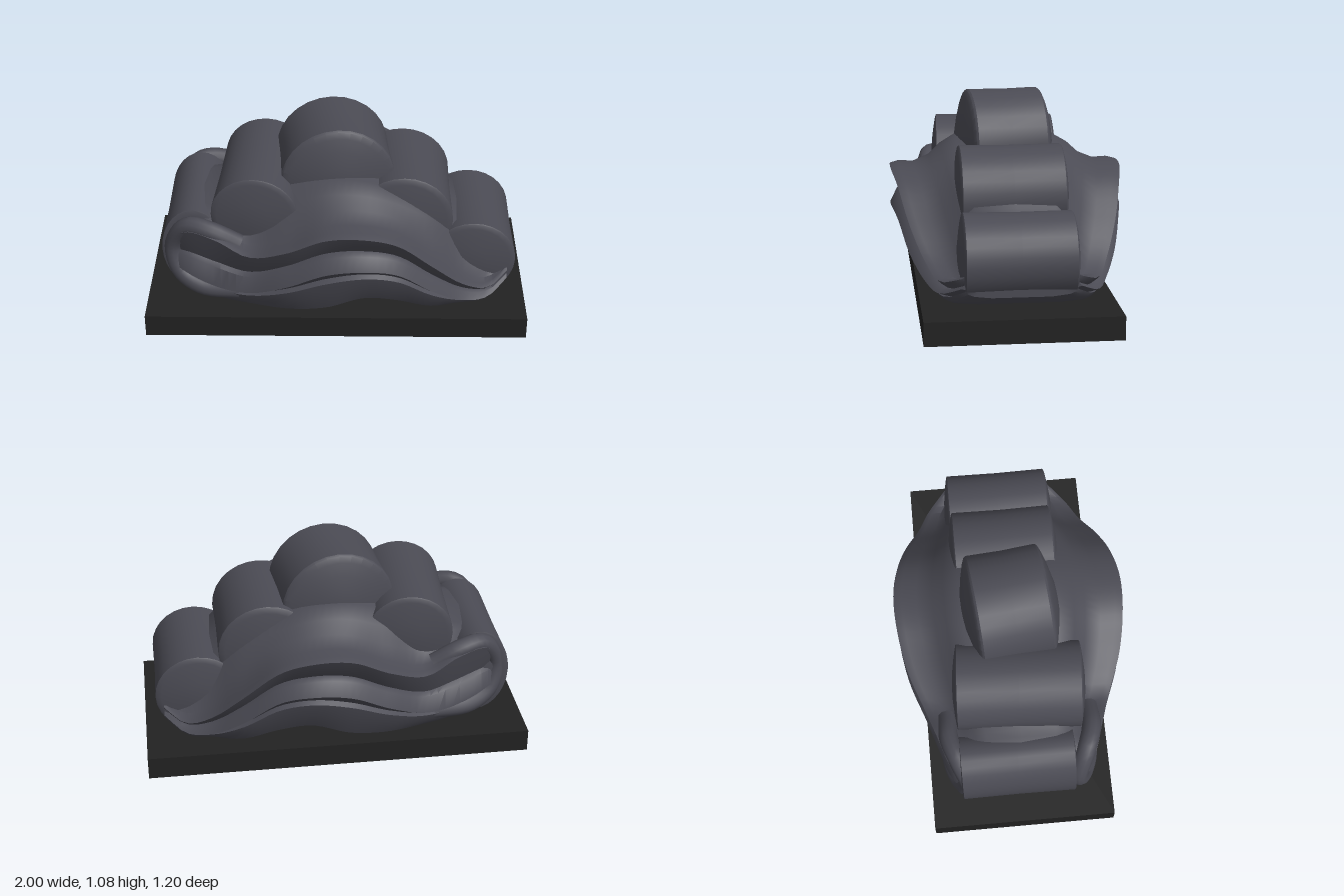
import * as THREE from 'three';
import { toCreasedNormals } from 'three/addons/utils/BufferGeometryUtils.js';

const cloudGrey = new THREE.MeshStandardMaterial({ color: 0x4b4b54 });
cloudGrey.name = 'cloud grey';
const baseBlack = new THREE.MeshStandardMaterial({ color: 0x222222 });
baseBlack.name = 'base black';

// Body stations: x, half width, crown height, upper ledge, lower ledge, underside
const STATIONS = [
  [-0.88, 0.30, 0.50, 0.45, 0.37, 0.29],
  [-0.80, 0.365, 0.60, 0.57, 0.34, 0.20],
  [-0.62, 0.43, 0.65, 0.57, 0.28, 0.145],
  [-0.45, 0.485, 0.71, 0.505, 0.28, 0.135],
  [-0.25, 0.56, 0.79, 0.58, 0.37, 0.145],
  [-0.05, 0.595, 0.84, 0.68, 0.47, 0.175],
  [0.15, 0.60, 0.83, 0.69, 0.495, 0.24],
  [0.32, 0.57, 0.77, 0.63, 0.455, 0.21],
  [0.50, 0.52, 0.68, 0.47, 0.32, 0.145],
  [0.66, 0.45, 0.54, 0.32, 0.22, 0.135],
  [0.80, 0.385, 0.47, 0.26, 0.20, 0.14],
  [0.90, 0.29, 0.40, 0.30, 0.25, 0.20],
];

// Half section from crown to underside: [z / width, y]
function halfSection([w, crown, upper, lower, under]) {
  const mix = THREE.MathUtils.lerp;
  return [
    [0, crown], [0.43, crown - 0.01], [0.56, mix(upper, crown, 0.65)],
    [0.66, mix(upper, crown, 0.28)], [0.8, mix(upper, crown, 0.05)],
    [0.93, upper + 0.012], [1, upper],
    [0.95, mix(lower, upper, 0.72)], [0.88, mix(lower, upper, 0.42)],
    [0.94, mix(lower, upper, 0.36)], [1, lower],
    [0.89, mix(under, lower, 0.78)], [0.93, mix(under, lower, 0.72)],
    [0.89, mix(under, lower, 0.42)], [0.8, under + 0.01], [0.5, under], [0, under],
  ].map(([z, y]) => [z * w, y]);
}

// Loft with rippling side ledges, mirrored front to back
function bodyGeometry() {
  const curve = new THREE.CubicInterpolant(
    STATIONS.map(s => s[0]), STATIONS.flatMap(s => s.slice(1)), 5);
  const steps = 44, positions = [], index = [];
  const x0 = STATIONS[0][0], x1 = STATIONS[STATIONS.length - 1][0];
  let n = 0;
  for (let i = 0; i <= steps; i++) {
    const x = x0 + (x1 - x0) * i / steps;
    const half = halfSection([...curve.evaluate(x)]);
    const back = half.slice(1, -1).reverse().map(([z, y]) => [-z, y]);
    const ring = [...half, ...back];
    n = ring.length;
    ring.forEach(([z, y]) => positions.push(x, y, z));
  }
  for (let i = 0; i < steps; i++) {
    for (let j = 0; j < n; j++) {
      const k = (j + 1) % n;
      const a = i * n + j, b = a + n, c = i * n + k, d = c + n;
      index.push(a, c, b, b, c, d);
    }
  }
  // End caps
  for (let j = 1; j < n - 1; j++) {
    const e = steps * n;
    index.push(0, j + 1, j, e, e + j, e + j + 1);
  }
  const geo = new THREE.BufferGeometry();
  geo.setAttribute('position', new THREE.Float32BufferAttribute(positions, 3));
  geo.setIndex(index);
  return toCreasedNormals(geo, 0.8);
}

// Drum lying along z: rim is the half length at its edge, dome at its bulging centre
function lobe(name, x, y, rx, ry, rim, dome, yaw = 0, z = 0) {
  const cap = [[0, 1], [0.35, 0.85], [0.65, 0.52], [0.87, 0.22], [0.975, 0.02], [1, -0.15]]
    .map(([r, t]) => new THREE.Vector2(r, rim + (dome - rim) * t));
  const mirrored = cap.map(p => new THREE.Vector2(p.x, -p.y));
  const geo = new THREE.LatheGeometry([...mirrored, new THREE.Vector2(0.985, 0), ...cap.reverse()], 28);
  geo.rotateX(Math.PI / 2);
  geo.scale(rx, ry, 1);
  const mesh = new THREE.Mesh(toCreasedNormals(geo, 0.6), cloudGrey);
  mesh.name = name;
  mesh.position.set(x, y, z);
  mesh.rotation.y = yaw;
  return mesh;
}

// Raised rim curling round the end roll, its ends sunk into the body
function curl(side) {
  const path = new THREE.CatmullRomCurve3([
    [-0.50, 0.51, 0.37], [-0.64, 0.585, 0.37], [-0.76, 0.59, 0.33], [-0.845, 0.45, 0.285],
    [-0.815, 0.31, 0.315], [-0.7, 0.24, 0.36], [-0.5, 0.23, 0.38],
  ].map(([x, y, z]) => new THREE.Vector3(x, y, z * side)));
  const mesh = new THREE.Mesh(new THREE.TubeGeometry(path, 32, 0.05, 12), cloudGrey);
  mesh.name = side > 0 ? 'frontCurl' : 'backCurl';
  return mesh;
}

export function createModel() {
  const model = new THREE.Group();
  model.name = 'cloudOnBase';

  const base = new THREE.Mesh(new THREE.BoxGeometry(2, 0.12, 0.97), baseBlack);
  base.name = 'base';
  base.position.set(0, 0.06, -0.004);

  const body = new THREE.Mesh(bodyGeometry(), cloudGrey);
  body.name = 'cloudBody';

  model.add(
    base, body,
    lobe('endRollLobe', -0.745, 0.41, 0.167, 0.237, 0.295, 0.31, 0, -0.025),
    lobe('shoulderLobe', -0.40, 0.655, 0.225, 0.215, 0.32, 0.345, -0.06, 0.012),
    lobe('crownLobe', -0.01, 0.785, 0.295, 0.29, 0.19, 0.255, 0.1),
    lobe('sideLobe', 0.35, 0.59, 0.255, 0.25, 0.262, 0.295),
    lobe('lowLobe', 0.715, 0.355, 0.225, 0.22, 0.272, 0.30),
    curl(1), curl(-1),
  );
  return model;
}
